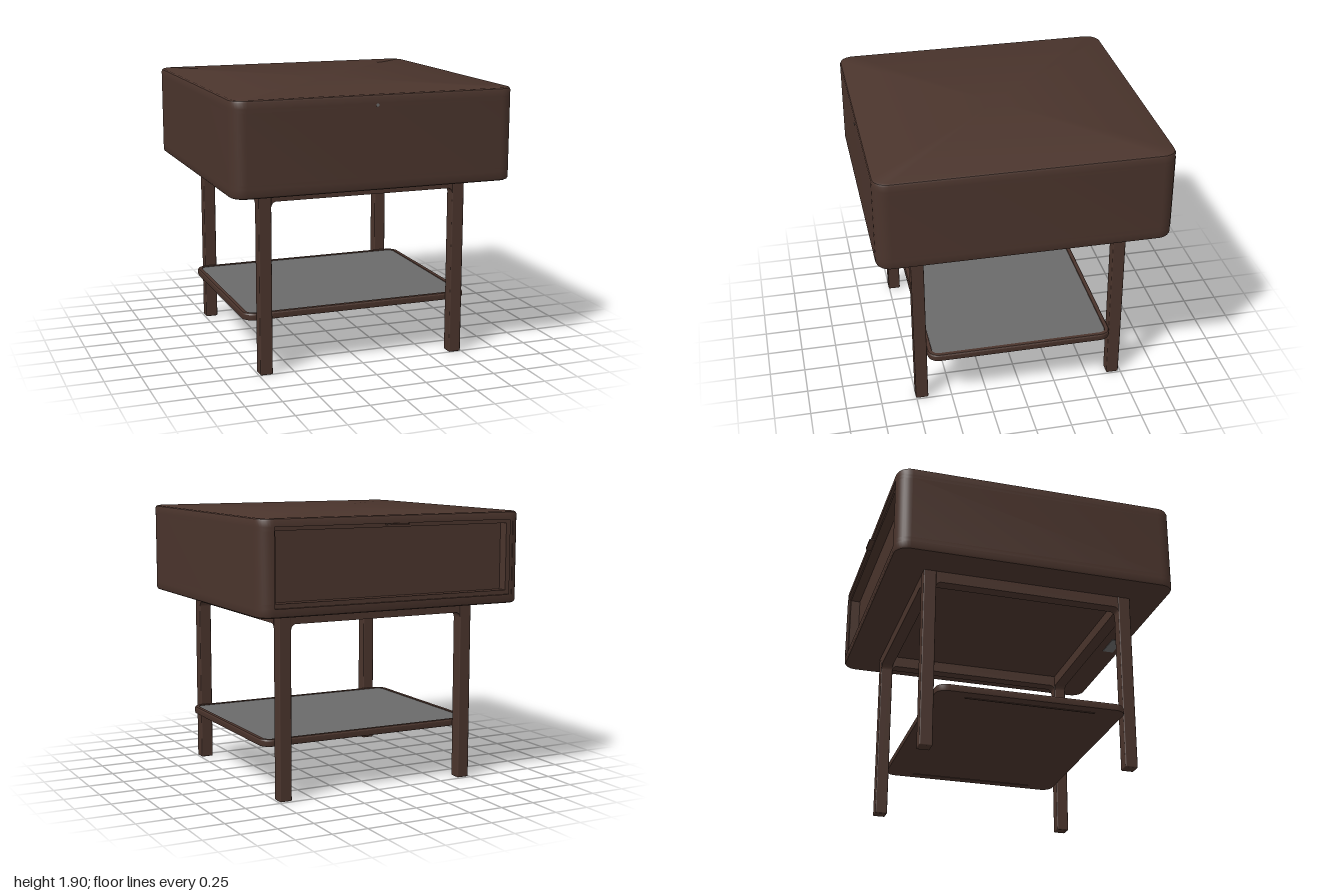
import * as THREE from 'three';
import { toCreasedNormals } from 'three/addons/utils/BufferGeometryUtils.js';
import { RoundedBoxGeometry } from 'three/addons/geometries/RoundedBoxGeometry.js';

const ZC = 0.01; // depth centre of everything but the drawer pull
const BODY = { hx: 0.985, hz: 0.99, r: 0.1 };
const SHELF = { hx: 0.82, hz: 0.655, r: 0.08 };

// rounded rectangle loop in x/z
function loop({ hx, hz, r }, inset) {
  const pts = [], n = 8, q = Math.max(r - inset, 0.005);
  const cx = hx - inset - q, cz = hz - inset - q;
  [[1, 1], [-1, 1], [-1, -1], [1, -1]].forEach(([sx, sz], k) => {
    for (let i = 0; i <= n; i++) {
      const a = (k + i / n) * Math.PI / 2;
      pts.push([sx * cx + q * Math.cos(a), sz * cz + q * Math.sin(a)]);
    }
  });
  return pts;
}

// closed solid through rounded rectangle loops; profile = [inset, y] from the bottom up
function ringSolid(plan, profile) {
  const rings = profile.map(([inset, y]) => loop(plan, inset).map(([x, z]) => [x, y, z]));
  const out = [], n = rings[0].length;
  const bottom = [0, profile[0][1], 0], top = [0, profile[profile.length - 1][1], 0];
  for (let i = 0; i < n; i++) {
    const k = (i + 1) % n;
    for (let j = 0; j + 1 < rings.length; j++) {
      const a = rings[j][i], b = rings[j][k], c = rings[j + 1][k], d = rings[j + 1][i];
      out.push(...a, ...c, ...b, ...a, ...d, ...c);
    }
    const last = rings[rings.length - 1];
    out.push(...bottom, ...rings[0][i], ...rings[0][k], ...top, ...last[k], ...last[i]);
  }
  const g = new THREE.BufferGeometry();
  g.setAttribute('position', new THREE.Float32BufferAttribute(out, 3));
  return toCreasedNormals(g, 0.5);
}

// slice of the case with notches [half width, depth] stepping into the back
function notchedSlice(y0, y1, notches) {
  const pts = loop(BODY, 0).map(([x, z]) => new THREE.Vector2(x, z));
  const left = [], right = [];
  let z = -BODY.hz;
  for (const [w, depth] of notches) {
    left.push(new THREE.Vector2(-w, z));
    right.unshift(new THREE.Vector2(w, z));
    z = -BODY.hz + depth;
    left.push(new THREE.Vector2(-w, z));
    right.unshift(new THREE.Vector2(w, z));
  }
  pts.splice(27, 0, ...left, ...right); // between the two back corners
  const g = new THREE.ExtrudeGeometry(new THREE.Shape(pts), { depth: y1 - y0, bevelEnabled: false });
  g.rotateX(Math.PI / 2).translate(0, y1, 0);
  return toCreasedNormals(g, 0.5);
}

// apron rail with small fillets where it meets the legs
function railGeometry(half, depth) {
  const y0 = 1.19, y1 = 1.28, r = 0.035;
  const s = new THREE.Shape();
  s.moveTo(-half, y1);
  s.lineTo(-half, y0 - r);
  s.absarc(-half + r, y0 - r, r, Math.PI, Math.PI / 2, true);
  s.lineTo(half - r, y0);
  s.absarc(half - r, y0 - r, r, Math.PI / 2, 0, true);
  s.lineTo(half, y1);
  const g = new THREE.ExtrudeGeometry(s, { depth, bevelEnabled: false, curveSegments: 6 });
  return toCreasedNormals(g.translate(0, 0, -depth / 2), 0.5);
}

export function createModel() {
  const wood = new THREE.MeshStandardMaterial({ color: 0x4a342c });
  wood.name = 'dark brown';
  const grey = new THREE.MeshStandardMaterial({ color: 0x6a6a6a });
  grey.name = 'grey';

  const model = new THREE.Group();
  model.name = 'sideTable';
  const add = (name, geometry, material, x = 0, y = 0, z = 0, parent = model) => {
    const m = new THREE.Mesh(geometry, material);
    m.name = name;
    m.position.set(x, y, z);
    parent.add(m);
    return m;
  };

  // case with softened top and bottom edges and a stepped drawer recess in the back
  const body = new THREE.Group();
  body.name = 'case';
  body.position.z = ZC;
  model.add(body);
  const outer = [0.91, 0.02], inner = [0.87, 0.09];
  add('caseBottom', ringSolid(BODY, [[0.018, 1.27], [0.006, 1.276], [0, 1.288], [0, 1.33]]), wood, 0, 0, 0, body);
  add('recessLowerLip', notchedSlice(1.33, 1.36, [outer]), wood, 0, 0, 0, body);
  add('caseMiddle', notchedSlice(1.36, 1.82, [outer, inner]), wood, 0, 0, 0, body);
  add('recessUpperLip', notchedSlice(1.82, 1.845, [outer]), wood, 0, 0, 0, body);
  add('caseTop', ringSolid(BODY, [[0, 1.845], [0, 1.882], [0.006, 1.894], [0.018, 1.9]]), wood, 0, 0, 0, body);

  // drawer pull: a thin tab with cut corners
  const tab = new THREE.Shape();
  tab.moveTo(-0.085, -0.9);
  tab.lineTo(-0.085, -0.985);
  tab.lineTo(-0.07, -1);
  tab.lineTo(0.065, -1);
  tab.lineTo(0.08, -0.985);
  tab.lineTo(0.08, -0.9);
  const pull = new THREE.ExtrudeGeometry(tab, { depth: 0.01, bevelEnabled: false });
  add('drawerPull', pull.rotateX(Math.PI / 2), wood, 0, 1.845, 0);

  // small grey fittings: front indicator and plate under the front edge
  const dot = new THREE.CylinderGeometry(0.011, 0.011, 0.004, 12).rotateX(Math.PI / 2);
  add('indicator', dot, grey, -0.01, 1.83, ZC + BODY.hz);
  add('underPlate', new THREE.BoxGeometry(0.2, 0.006, 0.08), grey, 0, 1.268, 0.91);

  // legs and apron
  const W = 0.088, lx = 0.698, lz = 0.7;
  const legGeometry = new RoundedBoxGeometry(W, 1.275, W, 2, 0.008);
  for (const sx of [-1, 1]) {
    for (const sz of [-1, 1]) {
      add(sz > 0 ? 'frontLeg' : 'backLeg', legGeometry, wood, sx * lx, 0.6375, ZC + sz * lz);
    }
    add('sideRail', railGeometry(lz - W / 2, W - 0.004), wood, sx * lx, 0, ZC).rotation.y = Math.PI / 2;
    add(sx > 0 ? 'frontRail' : 'backRail', railGeometry(lx - W / 2, W - 0.004), wood, 0, 0, ZC + sx * lz);
  }

  // shelf tray with a raised rim, inset panel and underside runners
  const tray = [[0.012, 0.36], [0.003, 0.363], [0, 0.372], [0, 0.4], [0.006, 0.41], [0.032, 0.41], [0.034, 0.4]];
  add('shelf', ringSolid(SHELF, tray), wood, 0, 0, ZC);
  add('shelfPanel', ringSolid(SHELF, [[0.035, 0.4], [0.035, 0.406]]), grey, 0, 0, ZC);
  for (const sx of [-1, 1]) {
    add('shelfRunner', new THREE.BoxGeometry(0.012, 0.006, 0.9), wood, sx * 0.74, 0.359, ZC);
  }
  return model;
}
